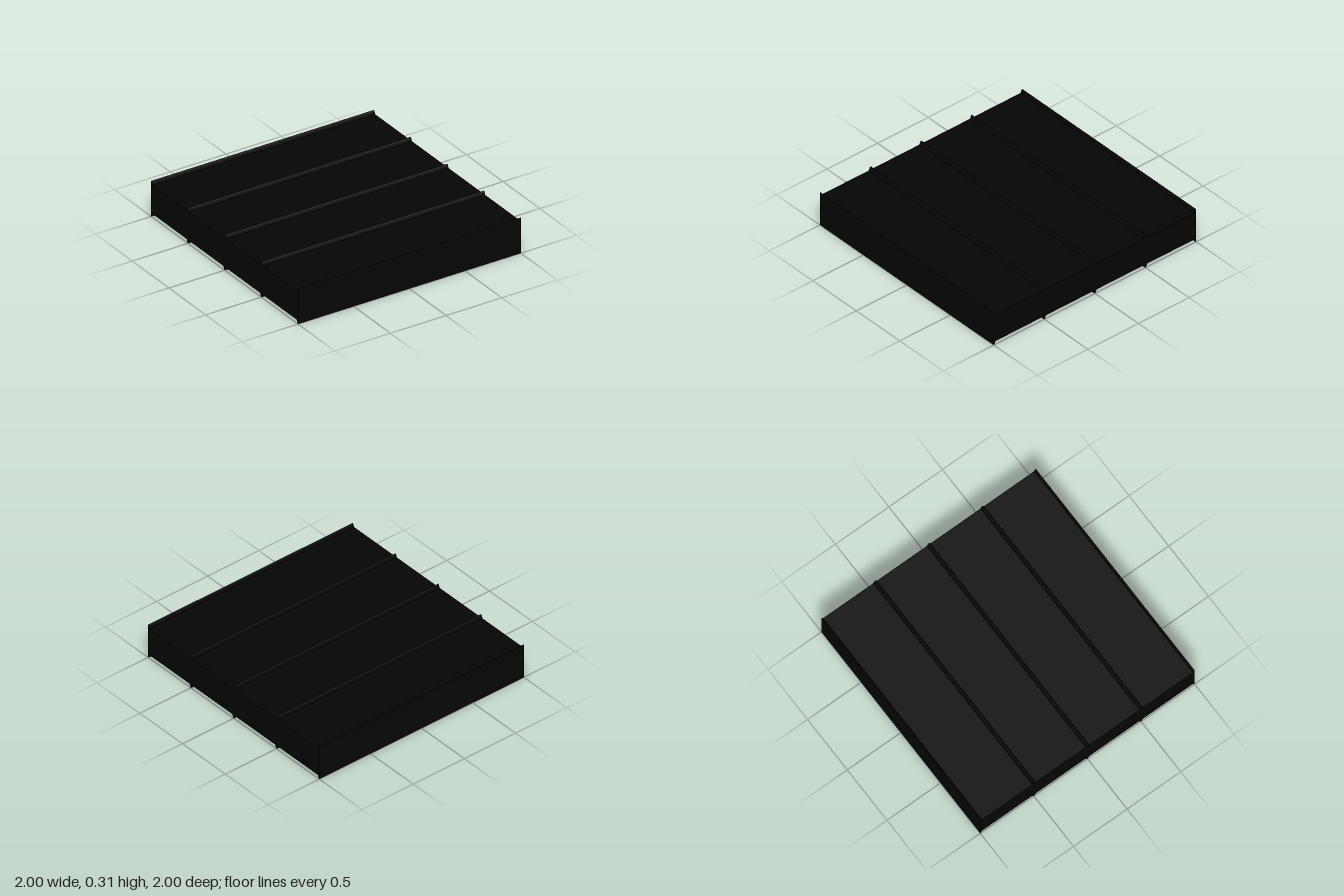
import * as THREE from 'three';

const LENGTH = 2, TOP = 0.275, BOTTOM = 0.03, RIB_HEIGHT = 0.03, RIB_HALF = 0.016;
const RIBS = [-1, -0.5, 0, 0.5, 1];

// Height of a rounded rib at offset t (-1..1) from its centre line
const ribHeight = (t) => RIB_HEIGHT * Math.cos(t * Math.PI / 2);

export function createModel() {
  const group = new THREE.Group();
  group.name = 'ribbedPanel';
  const black = new THREE.MeshStandardMaterial({ color: 0x050505 });
  black.name = 'black';

  // Upper outline of the panel from one edge to the other, with half ribs at both ends
  const outline = [];
  for (const z of RIBS) {
    for (let i = -4; i <= 4; i++) {
      const p = z + (i / 4) * RIB_HALF;
      if (Math.abs(p) <= 1) outline.push([p, ribHeight(i / 4)]);
    }
  }

  // Closed section: ribbed top and mirrored ribbed underside
  const points = [
    ...outline.map(([p, h]) => new THREE.Vector2(p, TOP + h)),
    ...outline.slice().reverse().map(([p, h]) => new THREE.Vector2(p, BOTTOM - h)),
  ];
  const geometry = new THREE.ExtrudeGeometry(new THREE.Shape(points), { depth: LENGTH, bevelEnabled: false });
  geometry.translate(0, 0, -LENGTH / 2);
  geometry.rotateY(Math.PI / 2); // the ribs run along x

  const panel = new THREE.Mesh(geometry, black);
  panel.name = 'panel';
  group.add(panel);
  return group;
}
